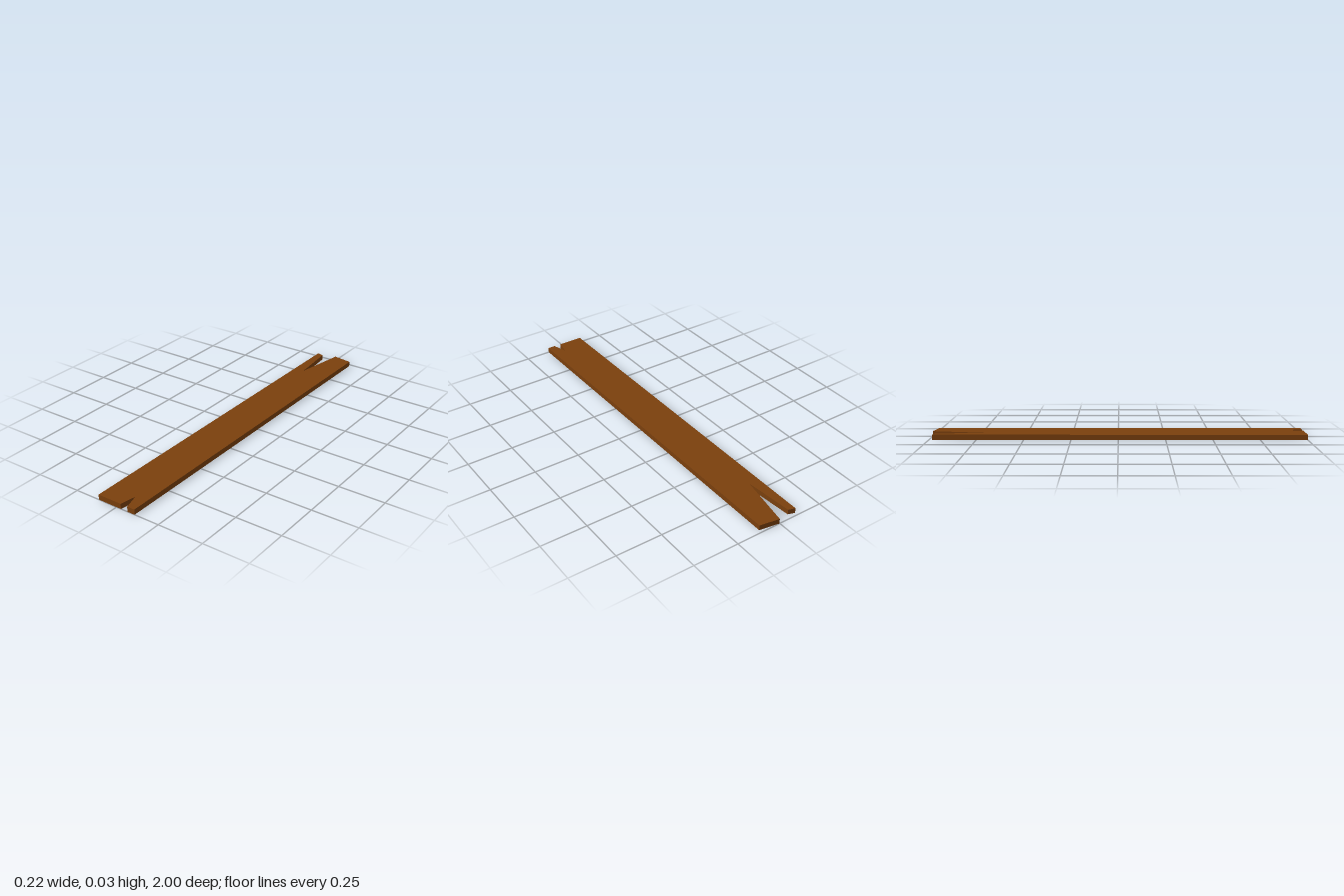
import * as THREE from 'three';

// Broken wooden plank: one outline with a split at each end, extruded upwards.
export function createModel() {
  const group = new THREE.Group();
  group.name = 'plank';

  const wood = new THREE.MeshStandardMaterial({ color: 0x7b400d });
  wood.name = 'brown wood';

  const thickness = 0.028;

  // Outline as [x, z], counter-clockwise seen from above
  const outline = [
    // front end with a small notch
    [-0.11, 1], [0.027, 1], [0.043, 0.914], [0.067, 1], [0.11, 1],
    // back end with a deep split
    [0.11, -0.982], [0.002, -1], [-0.05, -0.71], [-0.074, -0.972], [-0.11, -0.983],
  ];
  const shape = new THREE.Shape(outline.map(([x, z]) => new THREE.Vector2(x, -z)));

  const geometry = new THREE.ExtrudeGeometry(shape, { depth: thickness, bevelEnabled: false });
  geometry.rotateX(-Math.PI / 2);

  const board = new THREE.Mesh(geometry, wood);
  board.name = 'board';
  group.add(board);
  return group;
}
